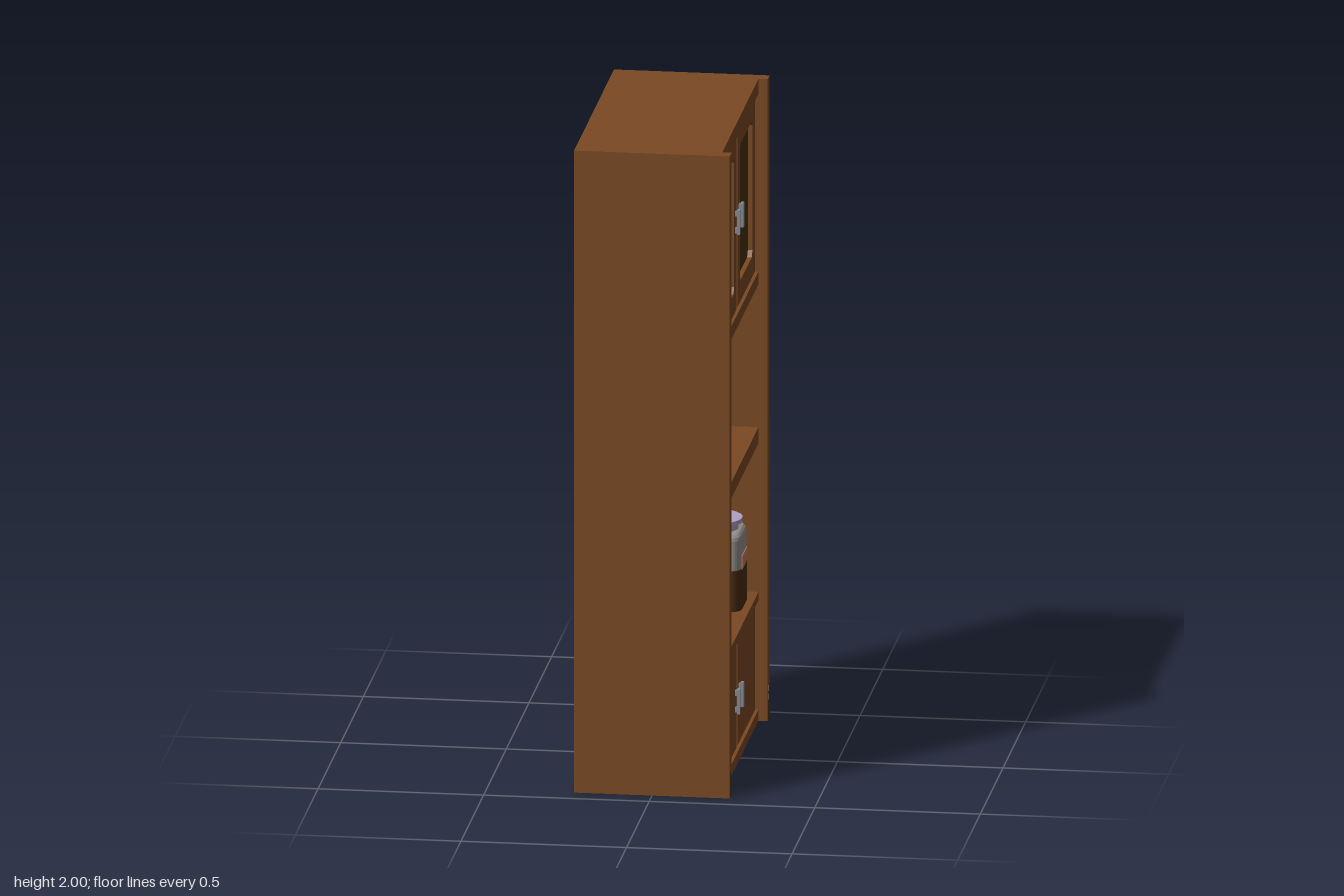
import * as THREE from 'three';

const mat = (name, color, side = THREE.FrontSide) => {
  const m = new THREE.MeshStandardMaterial({ color, side });
  m.name = name;
  return m;
};

// Square outline with rounded corners, centred on the origin
function roundedRect(Path, w, h, r, cx = 0, cy = 0) {
  const p = new Path(), x = w / 2, y = h / 2;
  p.absarc(cx + x - r, cy + y - r, r, 0, Math.PI / 2);
  p.absarc(cx - x + r, cy + y - r, r, Math.PI / 2, Math.PI);
  p.absarc(cx - x + r, cy - y + r, r, Math.PI, Math.PI * 1.5);
  p.absarc(cx + x - r, cy - y + r, r, Math.PI * 1.5, Math.PI * 2);
  p.closePath();
  return p;
}

export function createModel() {
  const wood = mat('brown wood', 0x7b4923);
  const pane = mat('dark window', 0x472f10);
  const filling = mat('dark jar contents', 0x482b10);
  const glass = mat('grey jar glass', 0x95918e);
  const lavender = mat('lavender', 0xaf9fc2);
  const plum = mat('plum lid', 0x643a52);
  const labelMat = mat('salmon label', 0xbd795f, THREE.DoubleSide);
  const metal = mat('handle metal', 0x858b92);
  const grime = mat('dark corner', 0x4a3412);

  const root = new THREE.Group();
  root.name = 'cupboard';

  const add = (parent, name, geo, material, x = 0, y = 0, z = 0) => {
    const m = new THREE.Mesh(geo, material);
    m.name = name;
    m.position.set(x, y, z);
    parent.add(m);
    return m;
  };
  // Box given by its limits on each axis
  const box = (name, x0, x1, y0, y1, z0, z1, material = wood) =>
    add(root, name, new THREE.BoxGeometry(x1 - x0, y1 - y0, z1 - z0), material,
      (x0 + x1) / 2, (y0 + y1) / 2, (z0 + z1) / 2);

  // Carcass, open towards +x
  const BACK = -0.235, FRONT = 0.207, IN = 0.398;
  for (const s of [-1, 1]) {
    const z0 = s * IN, z1 = s * 0.44;
    box('sidePanel', BACK, 0.235, 0, 2, Math.min(z0, z1), Math.max(z0, z1));
  }
  box('backPanel', BACK, -0.212, 0, 2, -IN, IN);
  box('topBoard', BACK, FRONT, 1.952, 2, -IN, IN);
  box('upperCabinetFloor', BACK, FRONT, 1.36, 1.4, -IN, IN);
  box('middleShelf', BACK, FRONT, 0.865, 0.915, -IN, IN);
  box('counter', BACK, FRONT, 0.375, 0.402, -IN, IN);
  box('base', BACK, FRONT, 0, 0.035, -IN, IN);
  box('upperDivider', 0.15, 0.185, 1.4, 1.952, -0.02, 0.02);
  box('lowerDivider', 0.15, 0.185, 0.035, 0.375, -0.02, 0.02);

  // Doors with handles, mirrored about the middle
  for (const s of [-1, 1]) {
    const frame = new THREE.Shape();
    const a = 0.012, b = 0.396;
    frame.moveTo(a, 1.4).lineTo(b, 1.4).lineTo(b, 1.952).lineTo(a, 1.952).closePath();
    const hole = new THREE.Path();
    const l = 0.063, r = 0.341, lo = 1.465, hi = 1.89, c = 0.018;
    hole.moveTo(l + c, lo).lineTo(l, lo + c).lineTo(l, hi - c).lineTo(l + c, hi)
      .lineTo(r - c, hi).lineTo(r, hi - c).lineTo(r, lo + c).lineTo(r - c, lo).closePath();
    frame.holes.push(hole);
    const geo = new THREE.ExtrudeGeometry(frame, { depth: 0.03, bevelEnabled: false });
    geo.rotateY(Math.PI / 2);
    add(root, 'upperDoorFrame', geo, wood, 0.167, 0, s < 0 ? 0 : b + a);
    // Mirror the off-centre window by turning the frame front to back
    if (s > 0) {
      const pos = geo.attributes.position;
      const mid = -(a + b) / 2;
      for (let i = 0; i < pos.count; i++) pos.setZ(i, 2 * mid - pos.getZ(i));
      for (let i = 0; i < pos.count; i += 3) {
        const v = [0, 1, 2].map((k) => new THREE.Vector3().fromBufferAttribute(pos, i + k));
        pos.setXYZ(i + 1, v[2].x, v[2].y, v[2].z);
        pos.setXYZ(i + 2, v[1].x, v[1].y, v[1].z);
      }
      geo.computeVertexNormals();
    }
    const span = (name, x0, x1, y0, y1, n, f, m) =>
      box(name, x0, x1, y0, y1, Math.min(s * n, s * f), Math.max(s * n, s * f), m);
    span('windowPane', 0.175, 0.183, 1.46, 1.9, 0.055, 0.35, pane);
    span('lowerDoor', 0.167, 0.197, 0.035, 0.375, 0.012, 0.396, wood);
    for (const y of [1.68, 0.187]) {
      span('handleGrip', 0.203, 0.212, y - 0.038, y + 0.038, 0.031, 0.049, metal);
      for (const d of [-0.026, 0.026])
        span('handlePost', 0.196, 0.204, y + d - 0.008, y + d + 0.008, 0.034, 0.046, metal);
    }
  }

  // Dark scuffs at the feet of the side panels
  for (const [s, h] of [[1, 0.08], [-1, 0.115]]) {
    const tri = new THREE.Shape();
    const outer = -s * 0.44, inner = -s * 0.4;
    tri.moveTo(outer, 0).lineTo(inner, 0).lineTo(inner, s > 0 ? 0.055 : 0.06)
      .lineTo(outer + s * 0.015, h).lineTo(outer, h).closePath();
    const geo = new THREE.ExtrudeGeometry(tri, { depth: 0.001, bevelEnabled: false });
    add(root, 'cornerScuff', geo.rotateY(Math.PI / 2), grime, 0.235);
  }

  // Pale patch under the base
  const patch = new THREE.CircleGeometry(0.1, 20).rotateX(Math.PI / 2);
  patch.scale(0.8, 1, 1.1);
  add(root, 'undersidePatch', patch, lavender, -0.08, -0.001, 0.1);

  // Round storage tin with an overhanging lid
  const tin = (x, y, z) => {
    const g = new THREE.Group();
    g.name = 'storageTin';
    g.position.set(x, y, z);
    add(g, 'tinBody', new THREE.CylinderGeometry(0.117, 0.117, 0.222, 32), lavender, 0, 0.111);
    add(g, 'tinLid', new THREE.CylinderGeometry(0.127, 0.127, 0.024, 32), plum, 0, 0.232);
    // Three stacked bands give the label clipped corners
    for (const [h, half] of [[0.07, 0.42], [0.05, 0.49]])
      add(g, 'tinLabel', new THREE.CylinderGeometry(0.1185, 0.1185, h, 10, 1, true,
        Math.PI / 2 - half, 2 * half), labelMat, 0, 0.105);
    root.add(g);
  };
  tin(-0.04, 0.915, -0.21);
  tin(-0.03, 0.402, 0.2);
  tin(-0.08, 0.402, -0.078);

  // Square glass jar, half filled, with a round lid
  const jar = (x, y, z) => {
    const g = new THREE.Group();
    g.name = 'glassJar';
    g.position.set(x, y, z);
    const body = new THREE.ExtrudeGeometry(roundedRect(THREE.Shape, 0.176, 0.176, 0.035), {
      depth: 0.198, bevelThickness: 0.02, bevelSize: 0.018, bevelOffset: -0.018,
      bevelSegments: 3, curveSegments: 4,
    }).rotateX(-Math.PI / 2);
    add(g, 'jarGlass', body, glass, 0, 0.021);
    const fill = new THREE.ExtrudeGeometry(roundedRect(THREE.Shape, 0.179, 0.179, 0.036), {
      depth: 0.127, bevelEnabled: false, curveSegments: 4,
    }).rotateX(-Math.PI / 2);
    add(g, 'jarContents', fill, filling, 0, 0.001);
    add(g, 'jarLabel', new THREE.BoxGeometry(0.003, 0.042, 0.108), labelMat, 0.089, 0.146);
    add(g, 'jarNeck', new THREE.CylinderGeometry(0.072, 0.072, 0.022, 24), lavender, 0, 0.249);
    add(g, 'jarLid', new THREE.CylinderGeometry(0.083, 0.083, 0.014, 24), lavender, 0, 0.265);
    root.add(g);
  };
  jar(0.01, 0.915, 0.23);
  jar(0.005, 0.915, 0.03);
  jar(0.095, 0.402, -0.255);

  return root;
}
